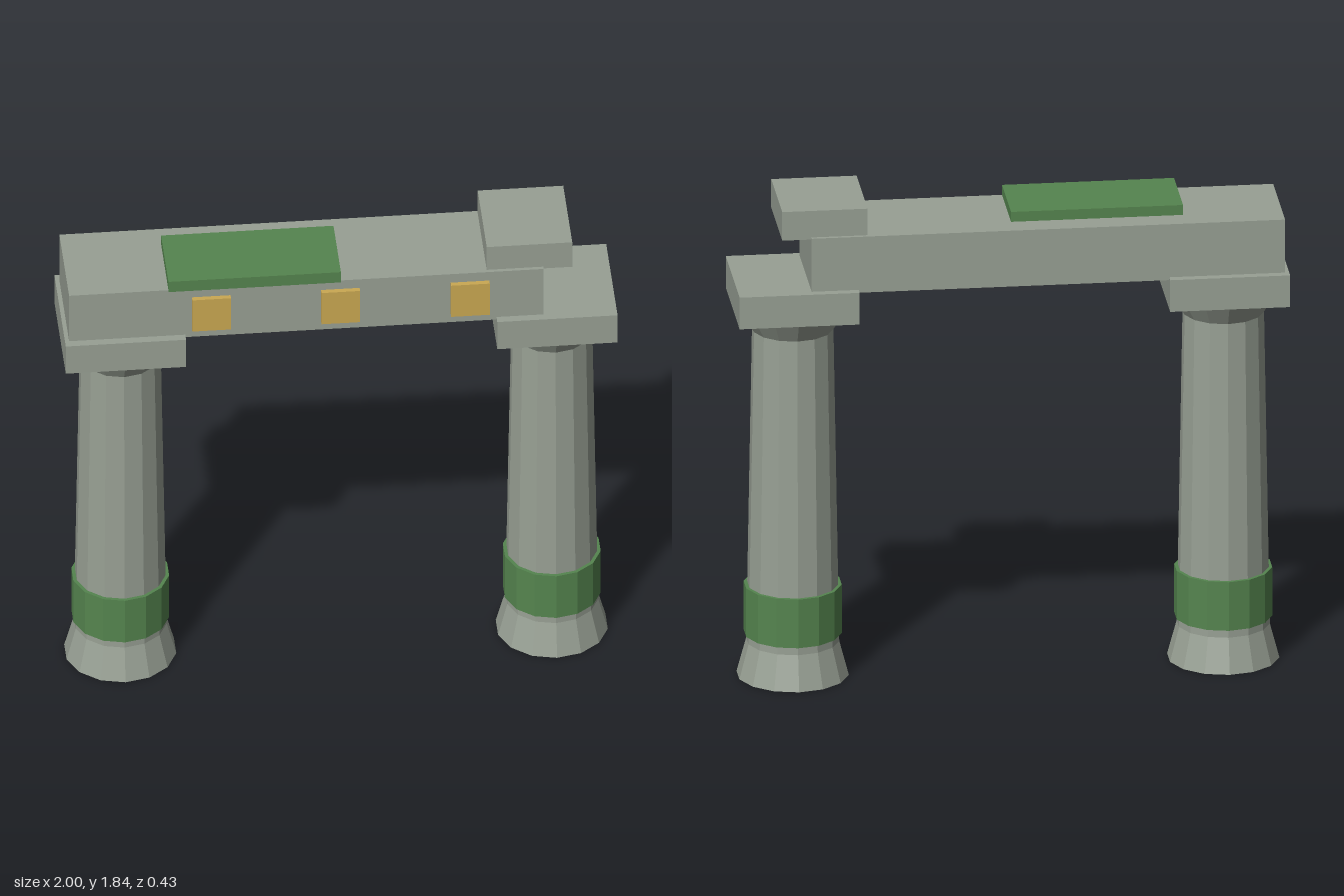
import * as THREE from 'three';

const SIDES = 14;

export function createModel() {
  const model = new THREE.Group();
  model.name = 'ruinedArch';

  const material = (name, color) => {
    const m = new THREE.MeshStandardMaterial({ color, flatShading: true });
    m.name = name;
    return m;
  };
  const stone = material('stone', 0x98a094);
  const moss = material('moss', 0x55854f);
  const gold = material('gold', 0xcaa852);

  // Box given by its minimum and maximum on each axis
  const box = (parent, name, mat, [x0, x1], [y0, y1], [z0, z1]) => {
    const mesh = new THREE.Mesh(new THREE.BoxGeometry(x1 - x0, y1 - y0, z1 - z0), mat);
    mesh.position.set((x0 + x1) / 2, (y0 + y1) / 2, (z0 + z1) / 2);
    mesh.name = name;
    parent.add(mesh);
  };

  // Faceted column drum between two heights
  const drum = (parent, name, mat, y0, y1, r0, r1) => {
    const mesh = new THREE.Mesh(new THREE.CylinderGeometry(r1, r0, y1 - y0, SIDES), mat);
    mesh.position.y = (y0 + y1) / 2;
    mesh.name = name;
    parent.add(mesh);
  };

  // Two matching columns
  for (const side of [-1, 1]) {
    const column = new THREE.Group();
    column.name = side < 0 ? 'rightColumn' : 'leftColumn';
    column.position.x = side * 0.782;
    drum(column, 'base', stone, 0, 0.13, 0.204, 0.169);
    drum(column, 'shaft', stone, 0.13, 1.33, 0.169, 0.148);
    drum(column, 'mossBand', moss, 0.16, 0.347, 0.178, 0.178);
    drum(column, 'capital', stone, 1.33, 1.412, 0.148, 0.198);
    box(column, 'capitalSlab', stone, [-0.218, 0.218], [1.412, 1.534], [-0.217, 0.217]);
    model.add(column);
  }

  // Broken lintel with a displaced block at its short end
  box(model, 'lintel', stone, [-0.985, 0.735], [1.523, 1.738], [-0.186, 0.186]);
  box(model, 'looseBlock', stone, [0.53, 0.84], [1.73, 1.84], [-0.172, 0.172]);

  // Moss patch on the lintel
  box(model, 'mossPatch', moss, [-0.625, 0], [1.73, 1.776], [-0.095, 0.187]);

  // Inlaid tiles on the front
  for (const x of [-0.47, -0.002, 0.468]) {
    box(model, 'frontTile', gold, [x - 0.07, x + 0.07], [1.56, 1.7], [0.18, 0.205]);
  }

  return model;
}
